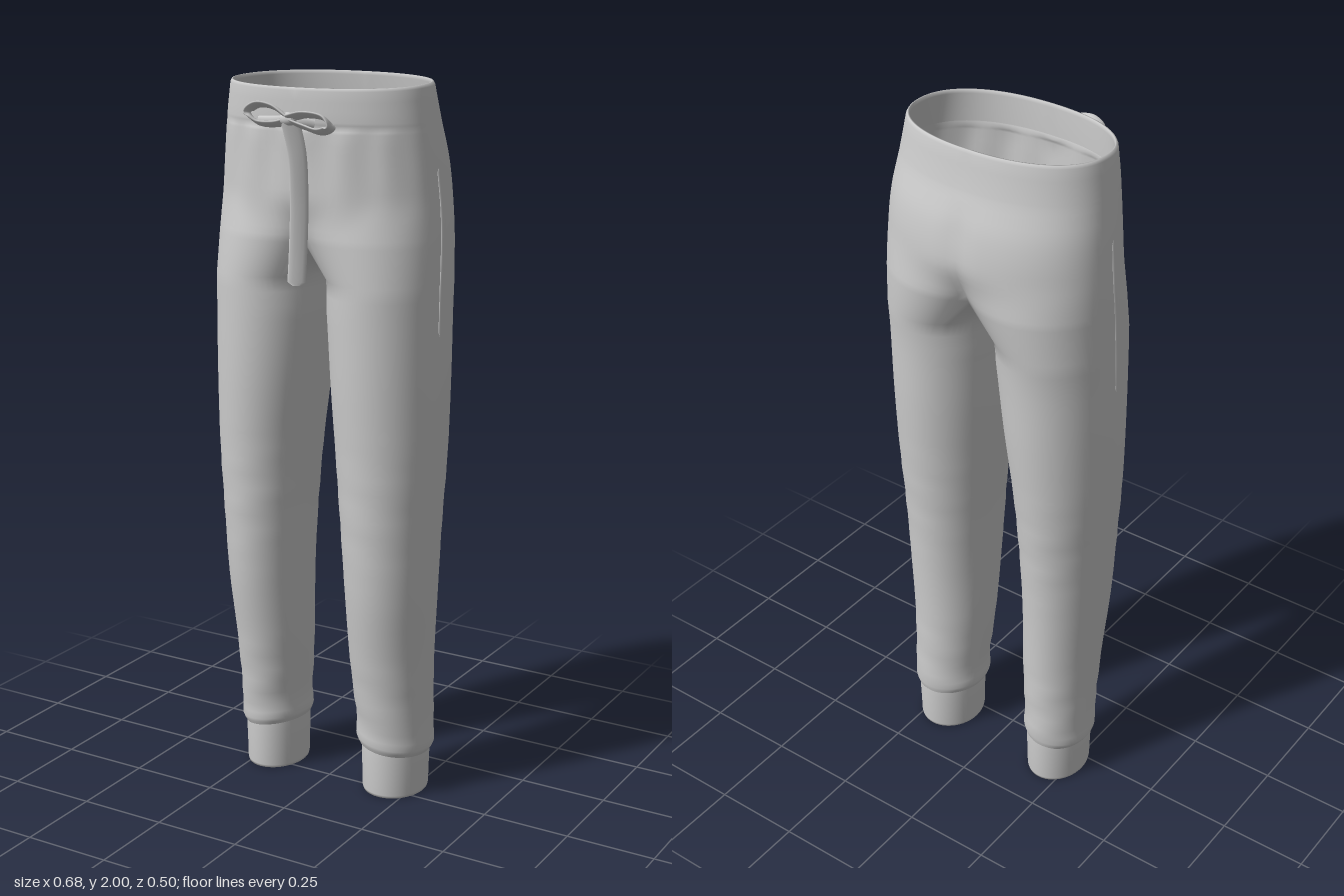
import * as THREE from 'three';
import { mergeVertices } from 'three/addons/utils/BufferGeometryUtils.js';
import { ParametricGeometry } from 'three/addons/geometries/ParametricGeometry.js';

// Open cloth, seen from inside and outside
const cloth = new THREE.MeshStandardMaterial({ color: 0xcccccc, roughness: 0.9, side: THREE.DoubleSide });

// Body profile of one half: [y, inner x, outer x, front z, back z]
const PROFILE = [
  [0.135, 0.100, 0.290, 0.062, -0.155],
  [0.155, 0.092, 0.301, 0.070, -0.160],
  [0.20, 0.096, 0.298, 0.072, -0.160],
  [0.40, 0.082, 0.302, 0.100, -0.160],
  [0.60, 0.077, 0.313, 0.130, -0.165],
  [0.80, 0.066, 0.322, 0.145, -0.175],
  [1.00, 0.050, 0.333, 0.155, -0.190],
  [1.20, 0.030, 0.336, 0.165, -0.205],
  [1.40, 0.013, 0.336, 0.170, -0.215],
  [1.50, 0.004, 0.335, 0.171, -0.226],
  [1.60, -0.085, 0.333, 0.174, -0.242],
  [1.70, -0.085, 0.326, 0.175, -0.249],
  [1.80, -0.085, 0.316, 0.175, -0.238],
  [1.90, -0.085, 0.301, 0.175, -0.209],
  [2.00, -0.085, 0.285, 0.175, -0.192],
];
const CROTCH = 1.58;         // height where the two legs join
const COLS = 68, OUTER = 48; // columns per leg; the first OUTER continue up to the waist
const CUT = 0.65;            // angle at which the centre plane cuts a leg section

const step = (v, a, b) => THREE.MathUtils.smoothstep(v, a, b);
const bell = (v, centre, width) => Math.exp(-(((v - centre) / width) ** 2));

// Smooth (Hermite) lookup in the profile
function profileAt(y) {
  const last = PROFILE.length - 1;
  let i = 0;
  while (i < last - 1 && y > PROFILE[i + 1][0]) i++;
  const slope = (k, c) => {
    const a = PROFILE[Math.max(k - 1, 0)], b = PROFILE[Math.min(k + 1, last)];
    return (b[c] - a[c]) / (b[0] - a[0]);
  };
  const p = PROFILE[i], q = PROFILE[i + 1], h = q[0] - p[0];
  const t = THREE.MathUtils.clamp((y - p[0]) / h, 0, 1), t2 = t * t, t3 = t2 * t;
  return [1, 2, 3, 4].map(c => (2 * t3 - 3 * t2 + 1) * p[c] + (t3 - 2 * t2 + t) * h * slope(i, c)
    + (3 * t2 - 2 * t3) * q[c] + (t3 - t2) * h * slope(i + 1, c));
}

// Point of one half: an ellipse in the leg, blending to half a rounded oval at the waist
function bodyPoint(side, y, j, inset = 0) {
  const [inner, xo, zf, zb] = profileAt(y);
  const xi = inner - side * 0.011 * (1 - step(y, 0.9, 1.45)); // the left leg hangs a little wider
  const phi = j <= OUTER
    ? -CUT + (j / OUTER) * (Math.PI + 2 * CUT)
    : Math.PI + CUT + ((j - OUTER) / (COLS - OUTER)) * (Math.PI - 2 * CUT);
  const zc = (zf + zb) / 2, hz = (zf - zb) / 2;
  let x = (xi + xo) / 2 + (xo - xi) / 2 * Math.sin(phi);
  let z = zc + hz * Math.cos(phi);
  let py = y;
  if (y >= CROTCH) {
    const t = Math.min(j / OUTER, 1) * Math.PI, c = Math.cos(t);
    const w = step(y, CROTCH - 0.02, 1.71);
    x = THREE.MathUtils.lerp(Math.max(x, 0), xo * Math.pow(Math.max(Math.sin(t), 0), 0.9), w);
    z = THREE.MathUtils.lerp(z, zc + hz * Math.sign(c) * Math.pow(Math.abs(c), 0.9), w);
    if (j >= OUTER || j === 0) x = 0;
    if (j > OUTER) { // crotch saddle between back and front
      const s = (j - OUTER) / (COLS - OUTER);
      z = zc + hz * Math.cos(CUT) * (2 * s - 1);
      py -= 0.07 * Math.sin(Math.PI * s);
    }
    // gathers below the front waistband, its seam, and the hollows along the centre seam
    const front = Math.max(c, 0) ** 2;
    z += 0.005 * Math.cos(15 * t) * front * step(y, 1.6, 1.82) * (1 - step(y, 1.86, 1.89));
    inset += 0.004 * front * bell(y, 1.885, 0.009);
    z -= Math.sign(c) * 0.006 * bell(x, 0, 0.035) * (1 - step(y, 1.78, 1.88));
    py -= 0.015 * step(y, 1.9, 2) * (0.5 + 0.5 * c);
  } else {
    // soft folds at the knee and above the cuff
    z += 0.003 * (bell(y, 0.27, 0.1) + 0.6 * bell(y, 0.85, 0.15)) * Math.sin(y * 55 + 2 * phi);
    // the leg hem rises towards the inside
    py -= 0.012 * Math.sin(phi) * (1 - step(y, 0.15, 0.3));
  }
  return [x * (1 - inset / xo), py, zc + (z - zc) * (1 - inset / hz)];
}

// Both halves as one welded shell
function bodyGeometry() {
  const rows = [[0.135, 0], [0.145, 0], [0.155, 0], [0.175, 0]];
  for (let y = 0.2; y < 1.49; y += 0.04) rows.push([y, 0]);
  const join = rows.push([CROTCH, 0]) - 1;
  for (let y = 1.6; y < 1.86; y += 0.02) rows.push([y, 0]);
  for (const y of [1.87, 1.877, 1.885, 1.893, 1.9, 1.93, 1.96, 1.992]) rows.push([y, 0]);
  rows.push([2, 0.003], [2, 0.007], [1.99, 0.01], [1.9, 0.01]); // rolled rim
  const pos = [], index = [];
  for (const side of [1, -1]) {
    const base = pos.length / 3;
    for (const [y, inset] of rows)
      for (let j = 0; j < COLS; j++) {
        const [x, py, z] = bodyPoint(side, y, j, inset);
        pos.push(x * side, py, z);
      }
    for (let i = 0; i < rows.length - 1; i++)
      for (let j = 0; j < (i >= join ? OUTER : COLS); j++) {
        const a = base + i * COLS + j, b = base + i * COLS + (j + 1) % COLS;
        const c = b + COLS, d = a + COLS;
        if (side > 0) index.push(a, b, c, a, c, d);
        else index.push(a, c, b, a, d, c);
      }
  }
  const geo = new THREE.BufferGeometry();
  geo.setAttribute('position', new THREE.Float32BufferAttribute(pos, 3));
  geo.setIndex(index);
  const welded = mergeVertices(geo, 1e-4);
  welded.computeVertexNormals();
  return welded;
}

// Flat, rounded band swept along a curve; dir is the direction of its width
function band(points, width, thick, dir) {
  const curve = new THREE.CatmullRomCurve3(points.map(p => new THREE.Vector3(...p)));
  const wide = new THREE.Vector3(...dir).normalize();
  return new ParametricGeometry((u, v, out) => {
    const tan = curve.getTangent(v);
    const w = wide.clone().addScaledVector(tan, -wide.dot(tan)).normalize();
    const n = tan.clone().cross(w);
    const end = v < 0.001 || v > 0.999 ? 0.4 : 1;
    out.copy(curve.getPoint(v))
      .addScaledVector(w, Math.cos(u * 2 * Math.PI) * width / 2 * end)
      .addScaledVector(n, Math.sin(u * 2 * Math.PI) * thick / 2 * end);
  }, 12, 40);
}

export function createModel() {
  const model = new THREE.Group();
  model.name = 'joggers';
  const add = (name, geo, parent = model) => {
    const mesh = new THREE.Mesh(geo, cloth);
    mesh.name = name;
    parent.add(mesh);
    return mesh;
  };

  add('body', bodyGeometry());

  // Ribbed ankle cuffs and side pocket welts
  const cuffProfile = [[0.9, 0.16], [0.9, 0.02], [0.92, 0.008], [0.95, 0.004], [0.97, 0.012],
    [0.98, 0.06], [1, 0.12], [0.98, 0.16]].map(p => new THREE.Vector2(...p));
  for (const [side, label] of [[1, 'left'], [-1, 'right']]) {
    const cuff = new THREE.LatheGeometry(cuffProfile, 48);
    cuff.scale(0.09 + side * 0.003, 1, 0.109);
    add(label + 'Cuff', cuff).position.set(side * 0.197 - 0.005, -0.004, -0.047);

    const welt = [1.34, 1.45, 1.56, 1.67, 1.78].map(y => {
      const [x, py, z] = bodyPoint(side, y, OUTER / 2);
      return [side * (x - 0.001), py, z + 0.015];
    });
    add(label + 'PocketWelt', band(welt, 0.022, 0.008, [0, 0, 1]));
  }

  // Drawstring: bow loops, knot, cord ends and hanging tails
  const drawstring = new THREE.Group();
  drawstring.name = 'drawstring';
  model.add(drawstring);
  const cord = (name, pts, width, dir) => add(name, band(pts, width, 0.01, dir), drawstring);
  cord('rightLoop', [[0.005, 1.908, 0.208], [-0.04, 1.937, 0.215], [-0.085, 1.942, 0.222],
    [-0.112, 1.922, 0.222], [-0.09, 1.896, 0.212], [-0.045, 1.893, 0.205], [0, 1.903, 0.205]],
    0.038, [0, 0.5, 1]);
  cord('leftLoop', [[0, 1.91, 0.21], [0.06, 1.924, 0.222], [0.118, 1.916, 0.222], [0.13, 1.896, 0.22],
    [0.1, 1.882, 0.215], [0.05, 1.89, 0.208], [0, 1.903, 0.205]], 0.042, [0, 0.5, 1]);
  cord('rightCord', [[0, 1.908, 0.205], [-0.05, 1.902, 0.195], [-0.115, 1.896, 0.168]], 0.022, [0, 1, 0]);
  cord('leftCord', [[0, 1.908, 0.205], [0.03, 1.902, 0.195], [0.06, 1.896, 0.175]], 0.022, [0, 1, 0]);
  cord('longTail', [[0.005, 1.91, 0.208], [0.022, 1.82, 0.2], [0.03, 1.7, 0.204],
    [0.035, 1.58, 0.218], [0.039, 1.485, 0.234]], 0.05, [0.65, 0, -0.75]);
  cord('shortTail', [[0, 1.91, 0.205], [0.014, 1.8, 0.19], [0.02, 1.7, 0.192], [0.024, 1.6, 0.2]],
    0.032, [0.6, 0, -0.7]);
  const knot = add('knot', new THREE.SphereGeometry(0.022, 20, 14), drawstring);
  knot.position.set(0, 1.908, 0.208);
  knot.scale.set(1.1, 0.8, 0.8);

  return model;
}
